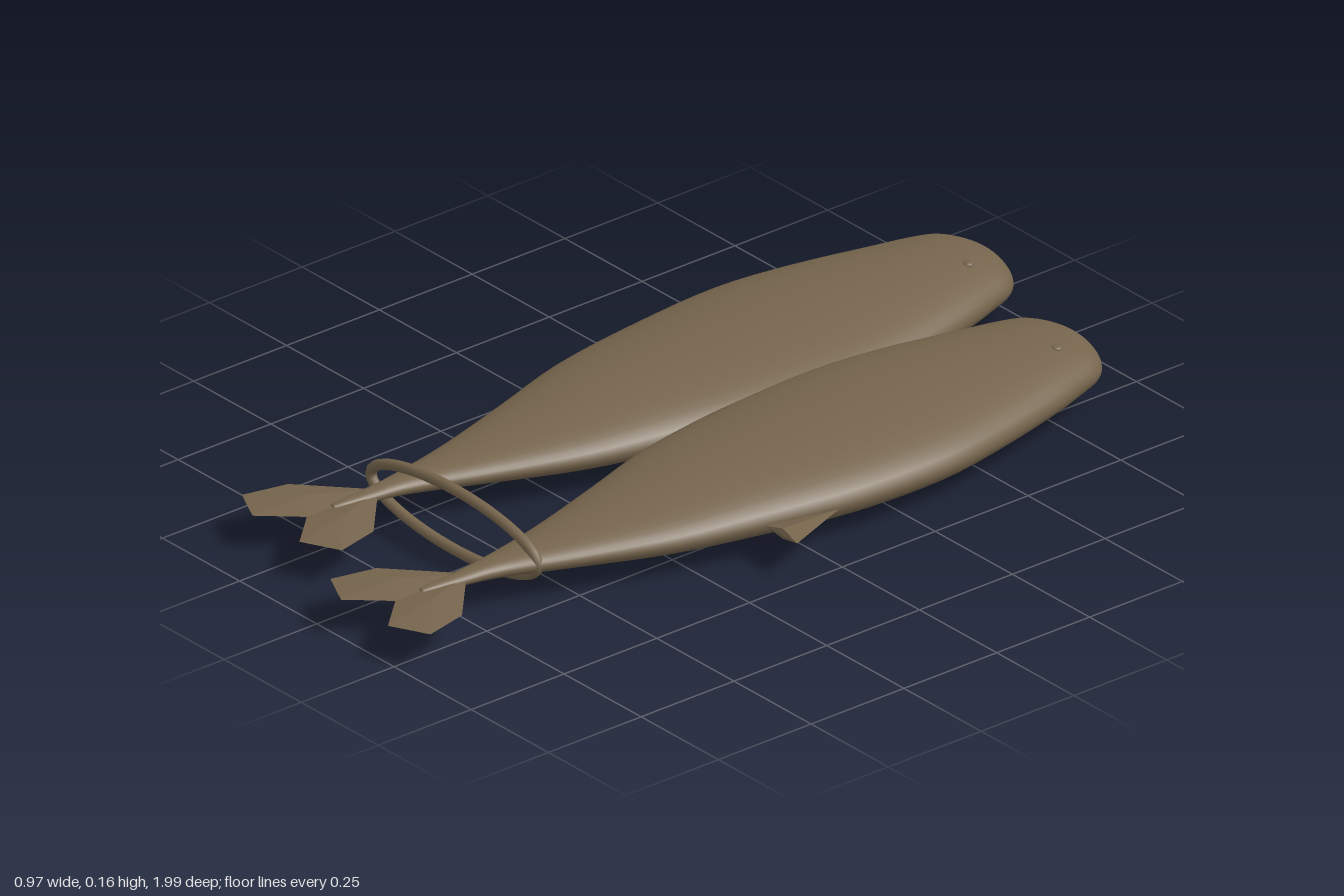
import * as THREE from 'three';

const brown = new THREE.MeshStandardMaterial({ color: 0x75644c });
brown.name = 'fishBrown';

// Body cross-sections from nose to tail: z, left edge x, right edge x, half height
const SECTIONS = [
  [-1, -0.29, -0.175, 0.032], [-0.992, -0.335, -0.14, 0.044], [-0.96, -0.385, -0.108, 0.055],
  [-0.9, -0.405, -0.085, 0.063], [-0.81, -0.425, -0.055, 0.069], [-0.64, -0.463, -0.012, 0.077],
  [-0.45, -0.485, 0.02, 0.081], [-0.22, -0.467, 0.013, 0.079], [0, -0.434, -0.028, 0.069],
  [0.2, -0.374, -0.075, 0.053], [0.4, -0.317, -0.15, 0.034], [0.56, -0.284, -0.213, 0.02],
  [0.65, -0.274, -0.232, 0.013], [0.74, -0.268, -0.25, 0.007],
];

function mesh(name, geometry) {
  const m = new THREE.Mesh(geometry, brown);
  m.name = name;
  return m;
}

function build(positions, index) {
  const g = new THREE.BufferGeometry();
  g.setAttribute('position', new THREE.Float32BufferAttribute(positions, 3));
  g.setIndex(index);
  return g;
}

// Smooth loft through elliptical sections, closed at both ends
function bodyGeometry() {
  const edges = new THREE.CatmullRomCurve3(SECTIONS.map(([z, l, r]) => new THREE.Vector3(l, r, z)), false, 'catmullrom', 0.5);
  const heights = new THREE.CatmullRomCurve3(SECTIONS.map((s) => new THREE.Vector3(s[3], 0, 0)), false, 'catmullrom', 0.5);
  const rows = 52, sides = 40, pos = [], idx = [];
  for (let i = 0; i <= rows; i++) {
    const e = edges.getPoint(i / rows), h = heights.getPoint(i / rows).x;
    for (let j = 0; j < sides; j++) {
      const a = (j / sides) * Math.PI * 2;
      pos.push((e.x + e.y) / 2 + ((e.y - e.x) / 2) * Math.cos(a), h * Math.sin(a), e.z);
    }
  }
  for (let i = 0; i < rows; i++) for (let j = 0; j < sides; j++) {
    const k = (j + 1) % sides, a = i * sides + j, b = i * sides + k;
    idx.push(a, b, a + sides, b, b + sides, a + sides);
  }
  const nose = pos.length / 3, tail = nose + 1, last = rows * sides;
  pos.push(-0.232, 0, -1.001, -0.259, 0, 0.742);
  for (let j = 0; j < sides; j++) {
    const k = (j + 1) % sides;
    idx.push(nose, k, j, tail, last + j, last + k);
  }
  const g = build(pos, idx);
  g.computeVertexNormals();
  return g;
}

// Faceted fin: an [x, z] outline with a raised ridge point above and below
function finGeometry(outline, ridge, thickness) {
  const pos = [], idx = [], n = outline.length;
  for (const [x, z] of outline) pos.push(x, 0, z);
  pos.push(ridge[0], thickness, ridge[1], ridge[0], -thickness, ridge[1]);
  const clockwise = THREE.ShapeUtils.area(outline.map(([x, z]) => new THREE.Vector2(x, z))) < 0;
  for (let i = 0; i < n; i++) {
    const k = (i + 1) % n, [a, b] = clockwise ? [i, k] : [k, i];
    idx.push(a, b, n, b, a, n + 1);
  }
  const g = build(pos, idx).toNonIndexed();
  g.computeVertexNormals();
  return g;
}

function createFish(name) {
  const fish = new THREE.Group();
  fish.name = name;
  fish.add(mesh('body', bodyGeometry()));

  // Two tail lobes, mirrored about the tail's centre line
  const lobe = [[0, 0.62], [0.03, 0.645], [0.138, 0.745], [0.162, 0.85], [0.076, 0.893], [0, 0.81]];
  for (const s of [-1, 1]) {
    const outline = lobe.map(([x, z]) => [-0.261 + s * x, z]);
    fish.add(mesh('tailLobe', finGeometry(outline, [-0.261 + s * 0.06, 0.76], 0.011)));
  }

  // Swept side fin with a square rear edge
  const side = [[0.01, -0.16], [0.073, 0.005], [-0.03, 0.005]];
  fish.add(mesh('sideFin', finGeometry(side, [0.02, 0.0], 0.012)));

  // Small eyes almost flush with the skin
  for (const s of [-1, 1]) {
    const eye = mesh('eye', new THREE.SphereGeometry(0.012, 16, 10));
    eye.scale.y = 0.5;
    eye.position.set(-0.175, s * 0.056, -0.9);
    fish.add(eye);
  }
  return fish;
}

export function createModel() {
  const model = new THREE.Group();
  model.name = 'tiedFishPair';

  const rightFish = createFish('rightFish');
  rightFish.position.y = 0.083;
  const leftFish = createFish('leftFish');
  leftFish.position.set(0.407, 0.083, 0.1);
  model.add(rightFish, leftFish);

  // Oval loop around both tails
  const path = [];
  for (let i = 0; i < 48; i++) {
    const a = (i / 48) * Math.PI * 2;
    path.push(new THREE.Vector3(-0.057 + 0.27 * Math.cos(a), 0.083 + 0.07 * Math.sin(a), 0.582));
  }
  const loop = new THREE.CatmullRomCurve3(path, true);
  model.add(mesh('tailLoop', new THREE.TubeGeometry(loop, 96, 0.012, 12, true)));
  return model;
}
